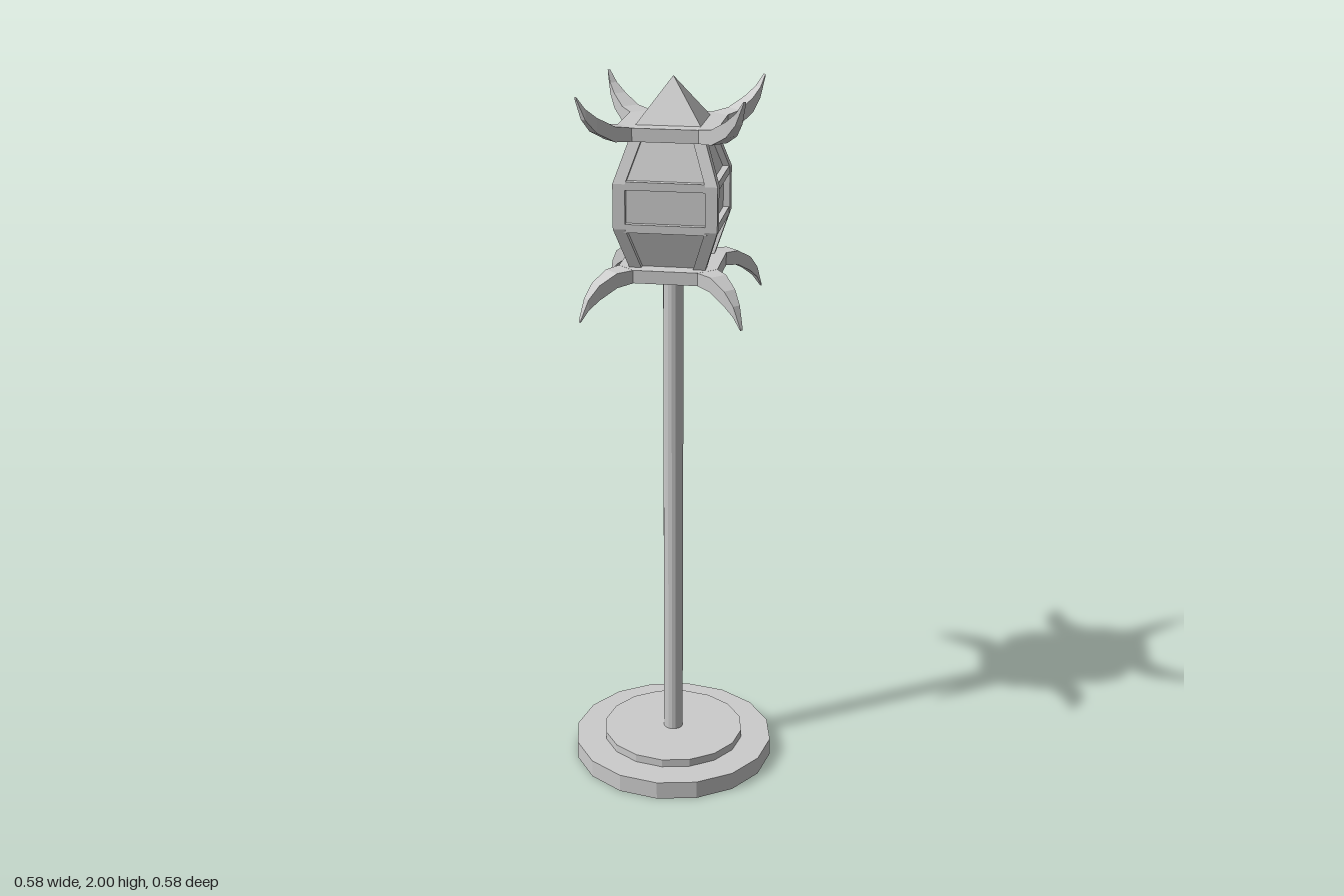
import * as THREE from 'three';

const material = new THREE.MeshStandardMaterial({ color: 0xcccccc, flatShading: true });
const shellMaterial = new THREE.MeshStandardMaterial({ color: 0xcccccc, flatShading: true, side: THREE.DoubleSide });

function add(parent, name, geometry, mat = material) {
  const mesh = new THREE.Mesh(geometry, mat);
  mesh.name = name;
  parent.add(mesh);
  return mesh;
}

const lathe = (points, sides, start = 0) =>
  new THREE.LatheGeometry(points.map(([r, y]) => new THREE.Vector2(r, y)), sides, start);

// Moves every vertex of a geometry by a rule
function reshape(geometry, rule) {
  const p = geometry.attributes.position;
  const v = new THREE.Vector3();
  for (let i = 0; i < p.count; i++) {
    rule(v.fromBufferAttribute(p, i));
    p.setXYZ(i, v.x, v.y, v.z);
  }
  geometry.computeVertexNormals();
  return geometry;
}

// Bowed lantern outline: [half width, height]
const BODY = [[0.1, 1.505], [0.1375, 1.62], [0.1375, 1.74], [0.098, 1.855]];
const POST = 0.0325;
const INSET = 0.018;

// Horn stations along the diagonal: [distance, half width, top, bottom]
const HORN = [
  [0.15, 0.033, 0.0175, -0.0175],
  [0.2, 0.026, 0.025, -0.0145],
  [0.25, 0.018, 0.052, 0.012],
  [0.28, 0.011, 0.076, 0.047],
  [0.302, 0.004, 0.1075, 0.102],
];

// Square plate with cut corners and a curved horn on each corner
function hornedPlate(name) {
  const group = new THREE.Group();
  group.name = name;
  const a = 0.132, b = 0.086;
  const outline = new THREE.Shape(
    [[a, -b], [a, b], [b, a], [-b, a], [-a, b], [-a, -b], [-b, -a], [b, -a]].map(([x, y]) => new THREE.Vector2(x, y)));
  const plate = new THREE.ExtrudeGeometry(outline, { depth: 0.035, bevelEnabled: false });
  plate.translate(0, 0, -0.0175).rotateX(-Math.PI / 2);
  add(group, 'plate', plate);

  const steps = HORN.length - 1;
  for (let i = 0; i < 4; i++) {
    const horn = reshape(new THREE.BoxGeometry(1, 1, 1, 1, 1, steps), (v) => {
      const [d, w, top, bottom] = HORN[Math.round((v.z + 0.5) * steps)];
      v.set(Math.sign(v.x) * w, v.y > 0 ? top : bottom, d);
    });
    add(group, 'horn', horn).rotation.y = Math.PI / 4 + i * Math.PI / 2;
  }
  return group;
}

export function createModel() {
  const model = new THREE.Group();
  model.name = 'lanternPost';

  // Hollow stepped base and open pole
  add(model, 'base', lathe([[0.29, 0], [0.29, 0.052], [0.204, 0.052], [0.204, 0.075], [0.028, 0.075]], 16), shellMaterial);
  add(model, 'pole', lathe([[0.028, 0.075], [0.028, 1.48]], 16), shellMaterial);

  // Lower plate has its horns turned down, upper plate has them turned up
  const lower = hornedPlate('lowerPlate');
  lower.position.y = 1.4925;
  lower.rotation.x = Math.PI;
  const upper = hornedPlate('upperPlate');
  upper.position.y = 1.8675;
  model.add(lower, upper);

  // Recessed panels
  const lantern = new THREE.Group();
  lantern.name = 'lantern';
  model.add(lantern);
  add(lantern, 'panels', lathe(BODY.map(([h, y]) => [(h - INSET) * Math.SQRT2, y]), 4, Math.PI / 4));

  for (let i = 0; i < 4; i++) {
    const side = new THREE.Group();
    side.name = 'lanternSide';
    side.rotation.y = i * Math.PI / 2;
    lantern.add(side);

    // Bowed corner post
    add(side, 'cornerPost', reshape(new THREE.BoxGeometry(1, 1, 1, 1, 3, 1), (v) => {
      const [h, y] = BODY[Math.round((v.y + 0.5) * 3)];
      v.set(v.x > 0 ? h : h - POST, y, v.z > 0 ? h : h - POST);
    }));

    // Crossbars between the panels
    for (const y of [1.6225, 1.735]) {
      add(side, 'crossbar', new THREE.BoxGeometry(0.22, 0.022, 0.03)).position.set(0, y, 0.1205);
    }
  }

  // Pyramid roof
  const roof = add(model, 'roof', new THREE.ConeGeometry(0.086 * Math.SQRT2, 0.116, 4));
  roof.rotation.y = Math.PI / 4;
  roof.position.y = 1.942;
  return model;
}
